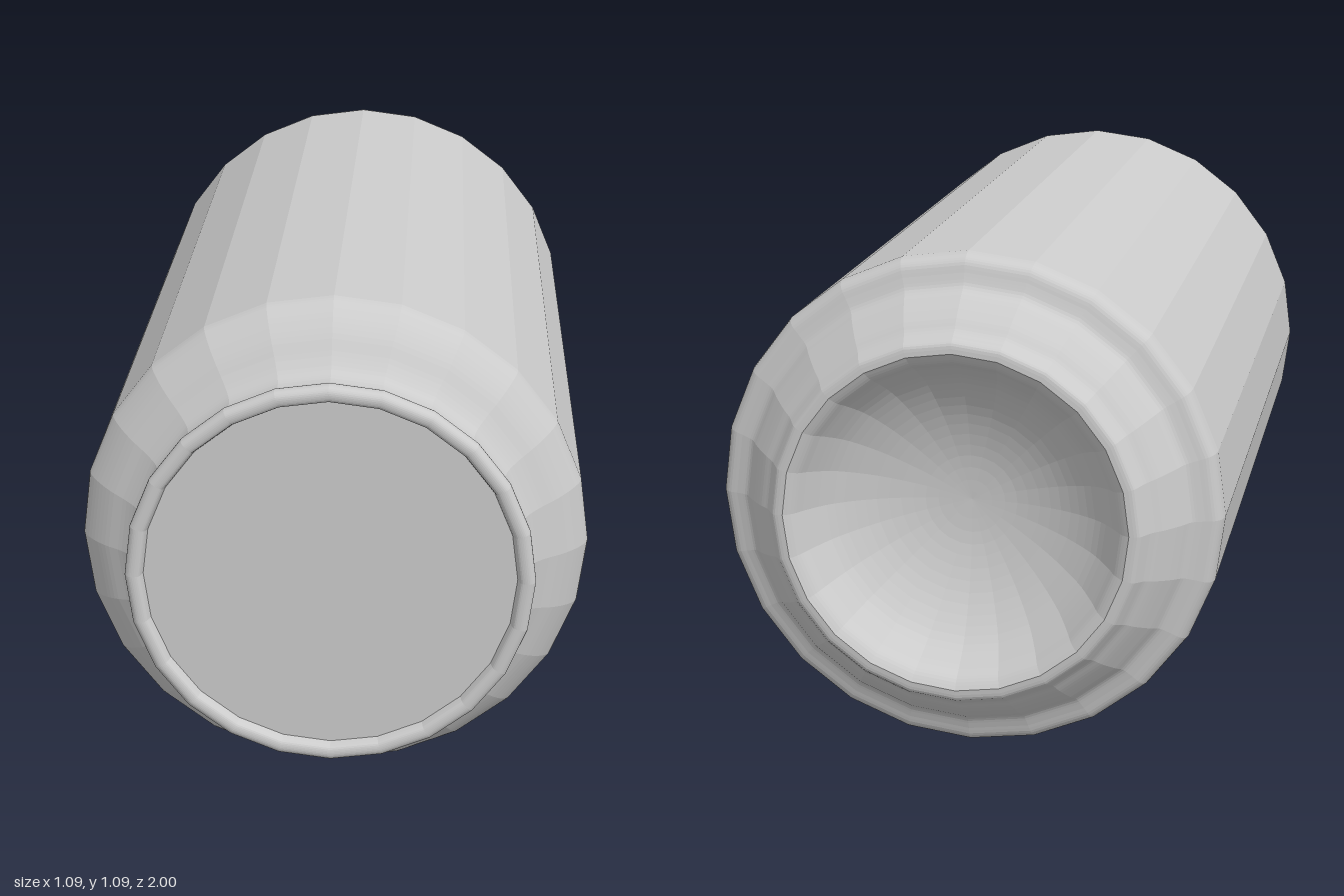
import * as THREE from 'three';

const SIDES = 24;
const R = 0.543;

// Smooth curve through [radius, z] points
function curve(points, samples) {
  return new THREE.SplineCurve(points.map(([r, z]) => new THREE.Vector2(r, z))).getPoints(samples);
}

export function createModel() {
  const group = new THREE.Group();
  const material = new THREE.MeshStandardMaterial({ color: 0xcccccc, flatShading: true });

  const add = (name, geometry) => {
    const mesh = new THREE.Mesh(geometry, material);
    mesh.name = name;
    mesh.position.y = R;
    group.add(mesh);
  };
  // Turn a profile about the lying can's long axis (z)
  const turn = (name, points) =>
    add(name, new THREE.LatheGeometry(points, SIDES).rotateX(Math.PI / 2));

  // Concave dome pressed into the base
  turn('baseDome', curve([
    [0, -0.82], [0.1, -0.828], [0.2, -0.858], [0.28, -0.905], [0.325, -0.955], [0.345, -0.985], [0.365, -1],
  ], 24));

  // Standing ring and concave taper at the back
  turn('baseTaper', curve([
    [0.365, -1], [0.385, -0.997], [0.396, -0.983], [0.408, -0.965], [0.43, -0.945],
    [0.46, -0.91], [0.478, -0.885], [0.5, -0.875], [0.525, -0.867], [0.538, -0.852], [R, -0.83],
  ], 36));

  // Straight faceted wall
  turn('wall', [new THREE.Vector2(R, -0.83), new THREE.Vector2(R, 0.77)]);

  // Rounded shoulder narrowing to the neck
  turn('shoulder', curve([
    [R, 0.77], [0.537, 0.79], [0.515, 0.82], [0.485, 0.848], [0.45, 0.872], [0.425, 0.895],
    [0.416, 0.915], [0.414, 0.935],
  ], 24));

  // Rolled rim round the lid
  turn('rim', curve([
    [0.414, 0.935], [0.418, 0.955], [0.425, 0.97], [0.425, 0.988], [0.417, 0.998],
    [0.405, 1], [0.394, 0.995], [0.388, 0.978],
  ], 24));

  // Flat, slightly sunken lid
  add('lid', new THREE.CircleGeometry(0.388, SIDES).translate(0, 0, 0.978));

  return group;
}
